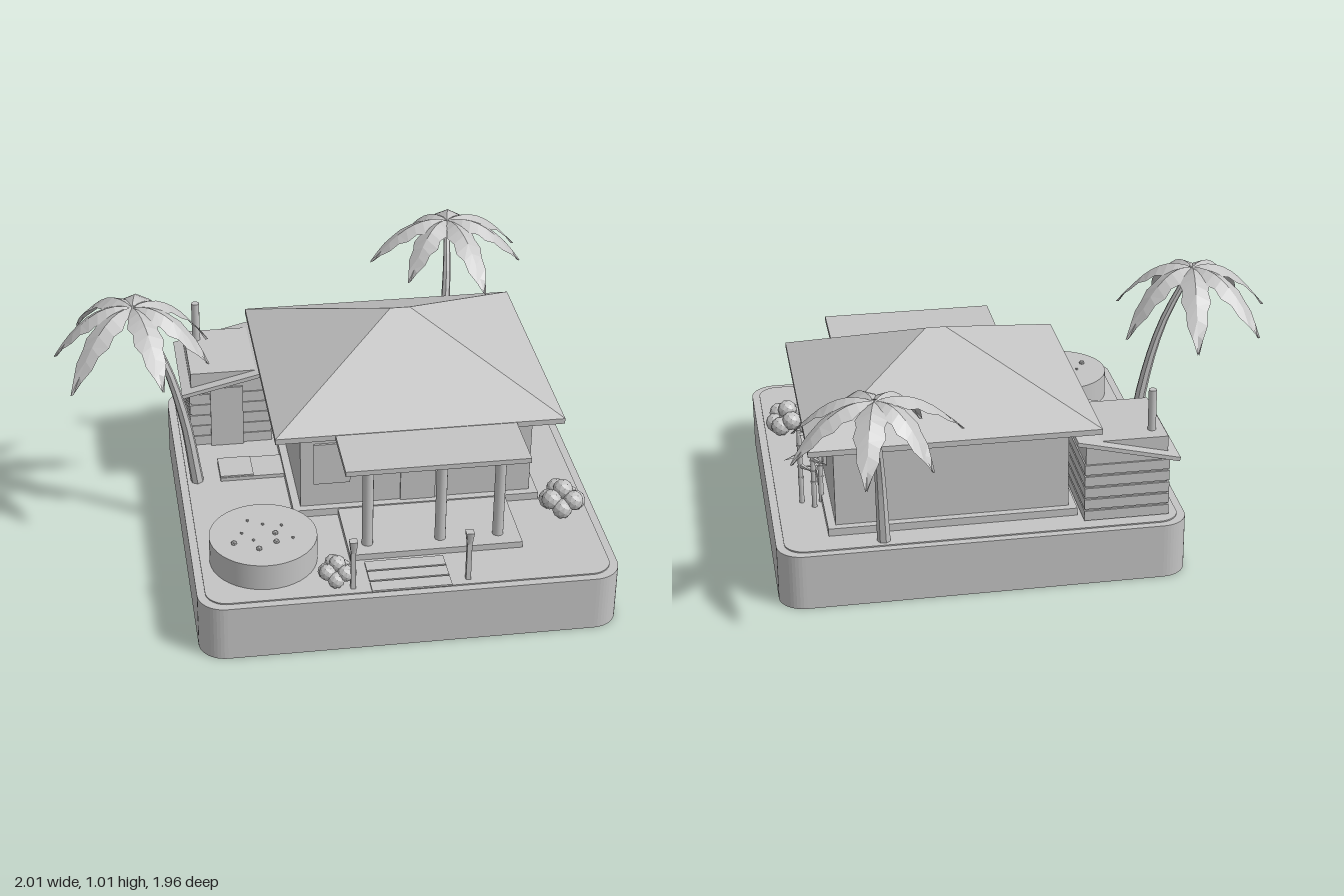
import * as THREE from 'three';

const grey = new THREE.MeshStandardMaterial({ color: 0xc4c4c4, side: THREE.DoubleSide });
grey.name = 'plain grey';

// Faceted copy of a geometry
function faceted(geo) {
  const g = geo.index ? geo.toNonIndexed() : geo;
  g.computeVertexNormals();
  return g;
}

function add(parent, name, geo, x = 0, y = 0, z = 0) {
  const m = new THREE.Mesh(geo, grey);
  m.name = name;
  m.position.set(x, y, z);
  parent.add(m);
  return m;
}

// Box given by its limits on each axis
function box(parent, name, x0, x1, y0, y1, z0, z1) {
  return add(parent, name, new THREE.BoxGeometry(x1 - x0, y1 - y0, z1 - z0),
    (x0 + x1) / 2, (y0 + y1) / 2, (z0 + z1) / 2);
}

// Upright cylinder standing on y0
function post(parent, name, x, z, y0, y1, rTop, rBottom = rTop, sides = 12) {
  return add(parent, name, new THREE.CylinderGeometry(rTop, rBottom, y1 - y0, sides), x, (y0 + y1) / 2, z);
}

// Rounded slab lying flat
function slab(parent, name, x0, x1, z0, z1, r, y0, y1) {
  const s = new THREE.Shape();
  s.moveTo(x0 + r, -z1);
  s.lineTo(x1 - r, -z1);
  s.absarc(x1 - r, -z1 + r, r, -Math.PI / 2, 0);
  s.absarc(x1 - r, -z0 - r, r, 0, Math.PI / 2);
  s.absarc(x0 + r, -z0 - r, r, Math.PI / 2, Math.PI);
  s.absarc(x0 + r, -z1 + r, r, Math.PI, Math.PI * 1.5);
  const geo = new THREE.ExtrudeGeometry(s, { depth: y1 - y0, bevelEnabled: false, curveSegments: 6 });
  geo.rotateX(-Math.PI / 2);
  return add(parent, name, geo, 0, y0, 0);
}

// Hipped roof: a rectangle at the eaves narrowing to a short ridge
function hipRoof(x0, x1, z0, z1, y0, rx0, rx1, rz, y1) {
  const a = [x0, y0, z1], b = [x1, y0, z1], c = [x1, y0, z0], d = [x0, y0, z0];
  const p = [rx0, y1, rz], q = [rx1, y1, rz];
  const tris = [a, b, q, a, q, p, b, c, q, c, d, p, c, p, q, d, a, p];
  const g = new THREE.BufferGeometry();
  g.setAttribute('position', new THREE.Float32BufferAttribute(tris.flat(), 3));
  g.computeVertexNormals();
  return g;
}

// Arching folded leaf with toothed edges, growing along +x
function frondGeometry(length, drop) {
  const rows = [], n = 9;
  for (let i = 0; i <= n; i++) {
    const t = i / n;
    const w = 0.058 * Math.pow(Math.sin(Math.PI * Math.pow(t, 0.85)), 0.8) * (i % 2 ? 1 : 0.8) + 0.003;
    const x = length * t, y = 0.11 * t - (drop + 0.11) * t * t;
    rows.push([[x + 0.012 * t, y - w * 0.5, -w], [x, y, 0], [x + 0.012 * t, y - w * 0.5, w]]);
  }
  const pos = [];
  for (let i = 0; i < n; i++) {
    for (let k = 0; k < 2; k++) {
      const a = rows[i][k], b = rows[i][k + 1], c = rows[i + 1][k + 1], d = rows[i + 1][k];
      pos.push(...a, ...b, ...c, ...a, ...c, ...d);
    }
  }
  const g = new THREE.BufferGeometry();
  g.setAttribute('position', new THREE.Float32BufferAttribute(pos, 3));
  g.computeVertexNormals();
  return g;
}

// Leaning trunk with a crown of fronds; tips are x, z offsets from the crown
function palm(parent, name, path, tips, drop) {
  const g = new THREE.Group();
  g.name = name;
  const pts = path.map(p => new THREE.Vector3(...p));
  const curve = new THREE.CatmullRomCurve3(pts);
  const segs = 10, sides = 7;
  const trunk = new THREE.TubeGeometry(curve, segs, 1, sides, false);
  const pos = trunk.attributes.position, v = new THREE.Vector3();
  for (let i = 0; i <= segs; i++) {
    const c = curve.getPointAt(i / segs), r = 0.026 - 0.014 * i / segs;
    for (let j = 0; j <= sides; j++) {
      const k = i * (sides + 1) + j;
      v.fromBufferAttribute(pos, k).sub(c).multiplyScalar(r).add(c);
      pos.setXYZ(k, v.x, v.y, v.z);
    }
  }
  add(g, 'trunk', faceted(trunk));
  const top = pts[pts.length - 1];
  tips.forEach(([x, z], i) => {
    const leaf = add(g, 'frond', frondGeometry(Math.hypot(x, z), drop - (i % 3) * 0.025), top.x, top.y, top.z);
    leaf.rotation.y = Math.atan2(-z, x);
  });
  parent.add(g);
}

// Cluster of faceted clumps
function bush(parent, x, z, r) {
  const g = new THREE.Group();
  g.name = 'bush';
  const clump = faceted(new THREE.IcosahedronGeometry(r * 0.45, 1));
  for (let i = 0; i < 7; i++) {
    const a = i * Math.PI * 2 / 7;
    add(g, 'clump', clump, Math.cos(a) * r * 0.6, r * (0.42 + 0.3 * (i % 2)), Math.sin(a) * r * 0.6);
  }
  add(g, 'clump', clump, 0, r * 1.05, 0);
  add(g, 'clump', clump, r * 0.1, r * 0.5, 0);
  g.position.set(x, 0.225, z);
  parent.add(g);
}

export function createModel() {
  const model = new THREE.Group();
  model.name = 'beachHouse';
  const G = 0.225;

  // Ground block
  slab(model, 'base', -0.56, 1, -0.575, 0.97, 0.1, 0, 0.22);
  slab(model, 'ground', -0.53, 0.97, -0.545, 0.94, 0.08, 0.22, G);

  // House body and main roof
  box(model, 'foundation', -0.15, 0.8, G, 0.255, -0.44, 0.43);
  box(model, 'walls', -0.12, 0.77, 0.255, 0.605, -0.41, 0.4);
  box(model, 'eaves', -0.225, 0.87, 0.6, 0.622, -0.525, 0.495);
  add(model, 'roof', hipRoof(-0.225, 0.87, -0.525, 0.495, 0.622, 0.287, 0.363, -0.015, 0.862));

  // Door, lintel panel and windows
  box(model, 'door', 0.265, 0.4, 0.255, 0.5, 0.4, 0.408);
  box(model, 'doorPanel', 0.2, 0.48, 0.5, 0.575, 0.4, 0.408);
  box(model, 'frontWindow', -0.07, 0.07, 0.355, 0.53, 0.4, 0.409);
  for (const x of [-0.125, 0.775]) box(model, 'sideWindow', x - 0.009, x + 0.009, 0.35, 0.53, -0.1, 0.085);

  // Porch
  box(model, 'porchFloor', 0.02, 0.67, G, 0.25, 0.42, 0.74);
  box(model, 'porchRoof', 0, 0.685, 0.6, 0.62, 0.4, 0.745);
  for (const x of [0.095, 0.37, 0.59]) post(model, 'porchColumn', x, 0.67, 0.25, 0.6, 0.021);

  // Front path of planks
  for (let i = 0; i < 3; i++) {
    const z = 0.76 + i * 0.064;
    box(model, 'pathPlank', 0.07, 0.365, G, 0.232, z, z + 0.057);
  }

  // Path lamps
  for (const x of [0.005, 0.43]) {
    box(model, 'lampPost', x - 0.009, x + 0.009, G, 0.38, 0.896, 0.914);
    const head = post(model, 'lampHead', x, 0.905, 0.38, 0.43, 0.021, 0.013, 4);
    head.rotation.y = Math.PI / 4;
  }

  // Side step
  box(model, 'sideStep', -0.4, -0.15, G, 0.24, 0, 0.14);
  box(model, 'sideMat', -0.4, -0.27, 0.24, 0.246, 0.003, 0.137);

  // Round tub with floating bits
  post(model, 'tub', -0.295, 0.675, G, 0.33, 0.2, 0.2, 40);
  for (let i = 0; i < 10; i++) {
    const a = i * 2.4, r = 0.045 + 0.0085 * i;
    add(model, 'floatingBit', new THREE.IcosahedronGeometry(i % 3 ? 0.006 : 0.012, 0),
      -0.295 + Math.cos(a) * r, 0.333, 0.675 + Math.sin(a) * r);
  }

  // Shed with clapboard walls, tilted roof and flue
  const shed = new THREE.Group();
  shed.name = 'shed';
  model.add(shed);
  box(shed, 'shedWalls', -0.485, -0.17, G, 0.555, -0.49, -0.14);
  for (let i = 0; i < 5; i++) {
    const y = G + 0.004 + i * 0.048;
    box(shed, 'clapboard', -0.492, -0.165, y, y + 0.04, -0.498, -0.135);
  }
  box(shed, 'shedDoor', -0.41, -0.28, G, 0.49, -0.135, -0.127);
  const lid = add(shed, 'shedRoof', new THREE.BoxGeometry(0.405, 0.016, 0.435), -0.325, 0.523, -0.317);
  lid.rotation.z = 0.235;
  post(shed, 'flue', -0.437, -0.42, 0.5, 0.72, 0.016);

  // Bushes
  bush(model, -0.045, 0.85, 0.07);
  bush(model, 0.875, 0.51, 0.087);

  // Bamboo canes with short pointed leaves
  const bamboo = new THREE.Group();
  bamboo.name = 'bamboo';
  model.add(bamboo);
  [[0.8, -0.15, 0.5], [0.83, -0.19, 0.51], [0.875, -0.145, 0.535]].forEach(([x, z, top], i) => {
    post(bamboo, 'cane', x, z, G, top, 0.009, 0.01, 7);
    for (let j = 0; j < 4; j++) {
      const y = 0.33 + j * 0.045;
      post(bamboo, 'caneRing', x, z, y, y + 0.006, 0.012, 0.012, 7);
      const a = i * 2 + j * 1.9;
      const leaf = add(bamboo, 'caneLeaf', faceted(new THREE.ConeGeometry(0.011, 0.07, 4)),
        x + Math.cos(a) * 0.035, y + 0.05, z + Math.sin(a) * 0.035);
      leaf.quaternion.setFromUnitVectors(new THREE.Vector3(0, 1, 0),
        new THREE.Vector3(Math.cos(a), -0.1, Math.sin(a)).normalize());
    }
  });

  // Palms
  palm(model, 'leftPalm',
    [[-0.49, G, 0.12], [-0.53, 0.5, 0.115], [-0.6, 0.76, 0.105], [-0.71, 0.995, 0.09]],
    [[0.05, -0.32], [-0.2, -0.26], [-0.29, 0.01], [-0.24, 0.22], [0.085, 0.28], [0.26, 0.14], [0.28, -0.13]], 0.23);
  palm(model, 'backPalm',
    [[0.6, G, -0.505], [0.61, 0.5, -0.53], [0.625, 0.7, -0.59], [0.64, 0.885, -0.695]],
    [[0.065, -0.285], [0.3, -0.095], [0.28, 0.105], [0.105, 0.29], [-0.185, 0.195], [-0.315, 0.04], [-0.175, -0.185]], 0.2);

  return model;
}
